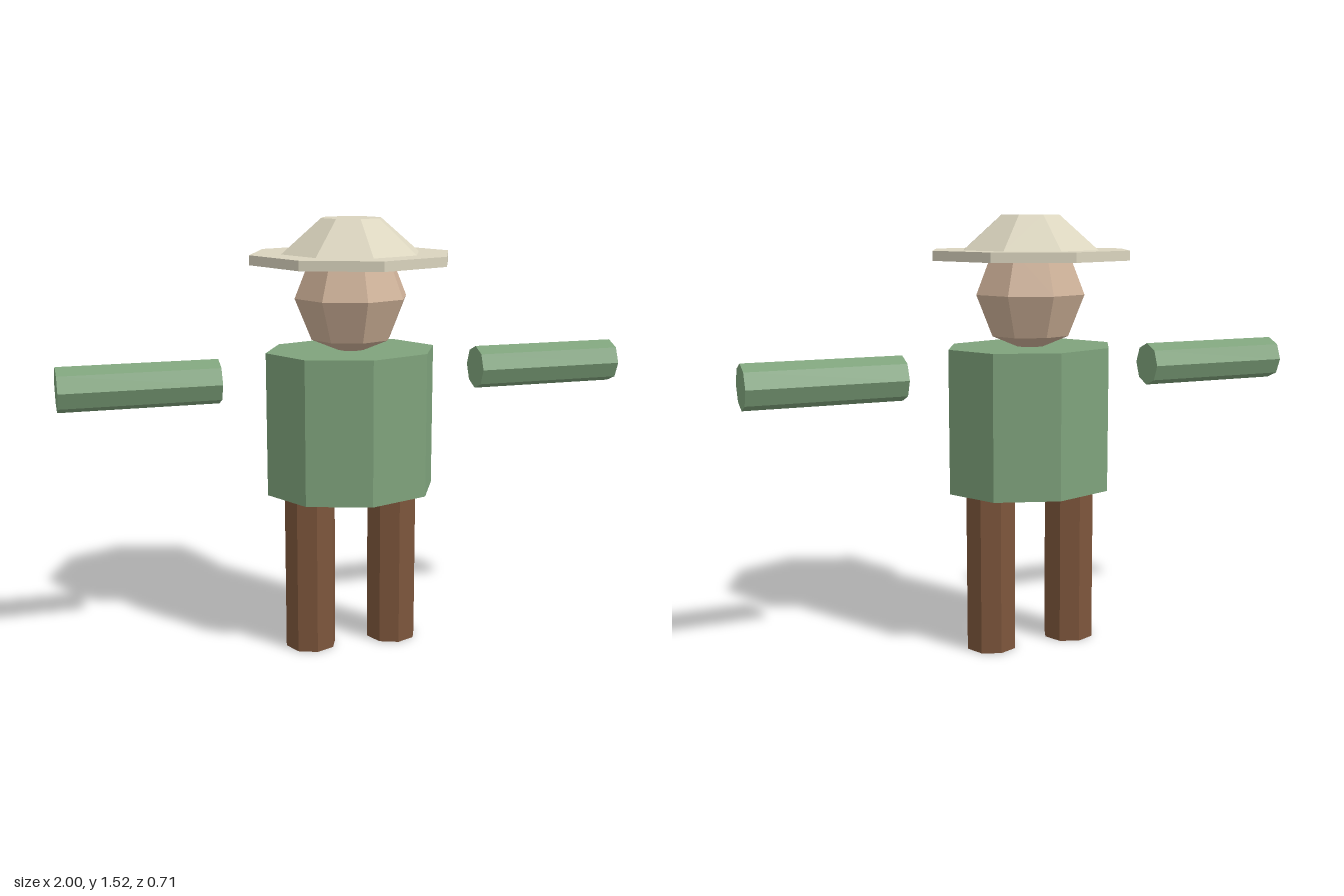
import * as THREE from 'three';

const paint = (color) => new THREE.MeshStandardMaterial({ color, flatShading: true });

export function createModel() {
  const group = new THREE.Group();
  const green = paint(0x7fa37c);
  const brown = paint(0x7d563c);
  const skin = paint(0xcdb097);
  const straw = paint(0xdad4be);

  function add(name, geometry, material, x, y) {
    const mesh = new THREE.Mesh(geometry, material);
    mesh.name = name;
    mesh.position.set(x, y, 0);
    group.add(mesh);
    return mesh;
  }

  // Eight-sided prism or frustum, corners on the axes
  const prism = (top, bottom, height) => new THREE.CylinderGeometry(top, bottom, height, 8);

  // Torso, slightly flattened front to back
  add('torso', prism(0.303, 0.303, 0.5), green, 0, 0.818).scale.z = 0.825;

  // Legs and free-floating outstretched arms
  for (const [side, s] of [['left', 1], ['right', -1]]) {
    add(side + 'Leg', prism(0.091, 0.091, 0.568), brown, s * 0.152, 0.284);
    add(side + 'Arm', prism(0.076, 0.076, 0.534), green, s * 0.733, 0.981).rotation.z = Math.PI / 2;
  }

  // Faceted head
  add('head', new THREE.SphereGeometry(1, 8, 4), skin, 0, 1.249).scale.set(0.2, 0.201, 0.19);

  // Hat
  add('hatBrim', prism(0.354, 0.354, 0.033), straw, 0, 1.382);
  add('hatCrown', prism(0.106, 0.248, 0.12), straw, 0, 1.456);

  return group;
}
